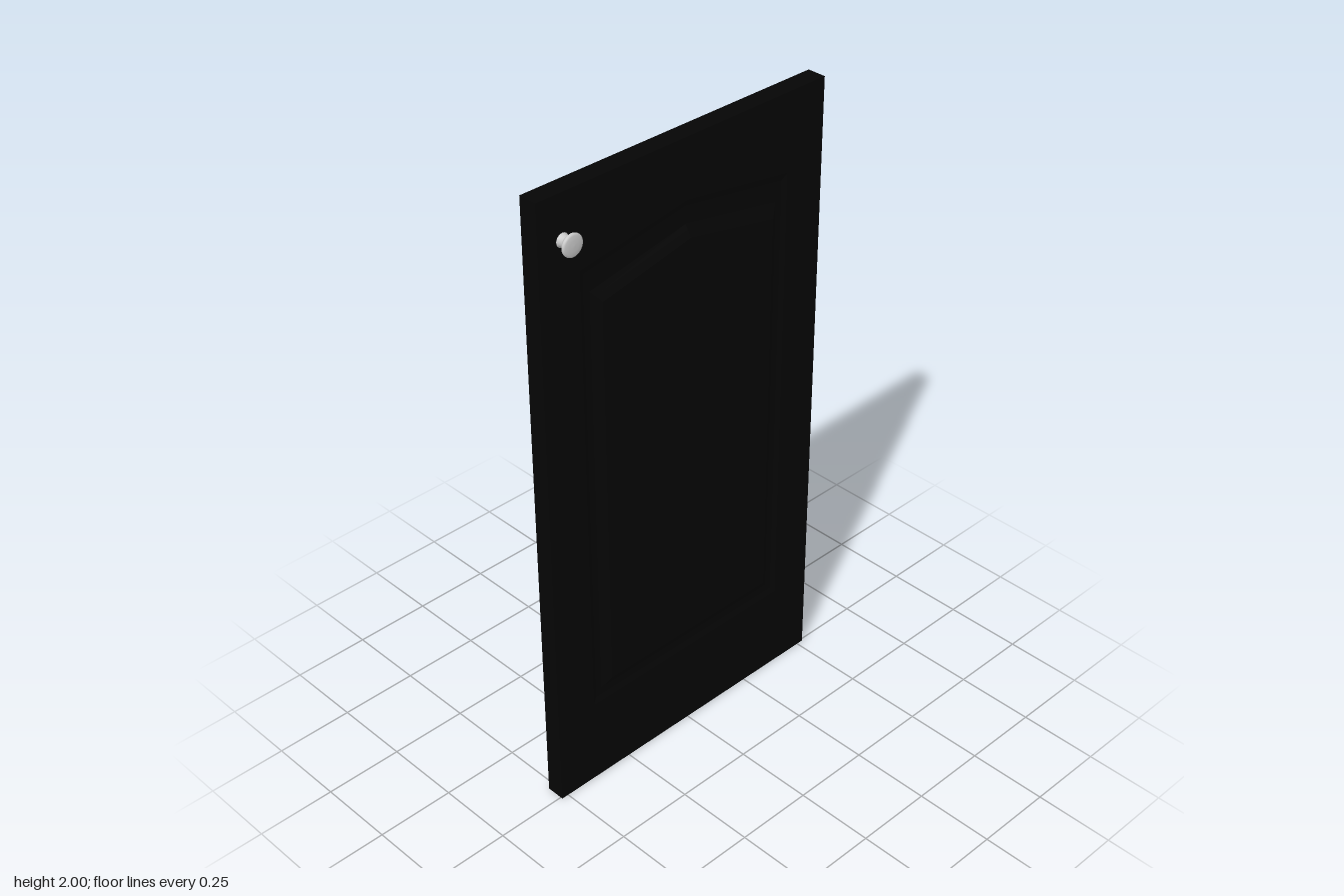
import * as THREE from 'three';

// Arched panel outline: half width, bottom, shoulder height, peak height
function archPoints([w, bottom, shoulder, peak]) {
  return [[-w, bottom], [w, bottom], [w, shoulder], [0, peak], [-w, shoulder]]
    .map(([x, y]) => new THREE.Vector2(x, y));
}

// Flat-shaded bands joining successive arched outlines, each at its own depth
function loftArches(rings) {
  const pos = [];
  for (let r = 0; r < rings.length - 1; r++) {
    const a = archPoints(rings[r]), b = archPoints(rings[r + 1]);
    const za = rings[r][4], zb = rings[r + 1][4];
    for (let i = 0; i < a.length; i++) {
      const j = (i + 1) % a.length;
      const p = [a[i].x, a[i].y, za], q = [a[j].x, a[j].y, za];
      const s = [b[j].x, b[j].y, zb], t = [b[i].x, b[i].y, zb];
      pos.push(...p, ...q, ...s, ...p, ...s, ...t);
    }
  }
  const geo = new THREE.BufferGeometry();
  geo.setAttribute('position', new THREE.Float32BufferAttribute(pos, 3));
  geo.computeVertexNormals();
  return geo;
}

export function createModel() {
  const group = new THREE.Group();
  const black = new THREE.MeshStandardMaterial({ color: 0x050505 });
  const grey = new THREE.MeshStandardMaterial({ color: 0xcccccc });
  const add = (parent, name, geo, mat) => {
    const mesh = new THREE.Mesh(geo, mat);
    mesh.name = name;
    parent.add(mesh);
    return mesh;
  };

  const W = 1.046, H = 2, back = -0.053, mid = -0.008, face = 0.007;

  // Door is drawn facing +z, then turned to face +x
  const door = new THREE.Group();
  door.name = 'door';
  door.rotation.y = Math.PI / 2;
  group.add(door);

  // half width, bottom, shoulder, peak, depth
  const rings = [
    [0.385, 0.285, 1.755, 1.815, face],
    [0.37, 0.30, 1.735, 1.795, -0.002],
    [0.348, 0.325, 1.675, 1.74, -0.002],
    [0.336, 0.338, 1.66, 1.725, face],
    [0.32, 0.36, 1.64, 1.705, 0.018],
  ];

  // Solid backing slab
  add(door, 'backBoard', new THREE.BoxGeometry(W, H, mid - back), black)
    .position.set(0, H / 2, (mid + back) / 2);

  // Front frame with the arched opening
  const frame = new THREE.Shape([[-W / 2, 0], [W / 2, 0], [W / 2, H], [-W / 2, H]]
    .map(([x, y]) => new THREE.Vector2(x, y)));
  frame.holes.push(new THREE.Path(archPoints(rings[0])));
  add(door, 'frame', new THREE.ExtrudeGeometry(frame, { depth: face - mid, bevelEnabled: false }), black)
    .position.z = mid;

  // Groove and bevel around the raised panel
  add(door, 'panelMoulding', loftArches(rings), black);

  // Raised flat field
  const field = rings[rings.length - 1];
  add(door, 'raisedPanel', new THREE.ShapeGeometry(new THREE.Shape(archPoints(field))), black)
    .position.z = field[4];

  // Turned knob: stem, flare and slightly domed end
  const profile = [
    [0.021, 0], [0.018, 0.004], [0.0175, 0.017], [0.021, 0.022], [0.029, 0.029],
    [0.033, 0.033], [0.034, 0.036], [0.033, 0.040], [0.028, 0.0425], [0.015, 0.044], [0, 0.0445],
  ].map(([r, y]) => new THREE.Vector2(r, y));
  const knob = add(group, 'knob', new THREE.LatheGeometry(profile, 32), grey);
  knob.rotation.z = -Math.PI / 2;
  knob.position.set(face, 1.866, 0.44);

  return group;
}
